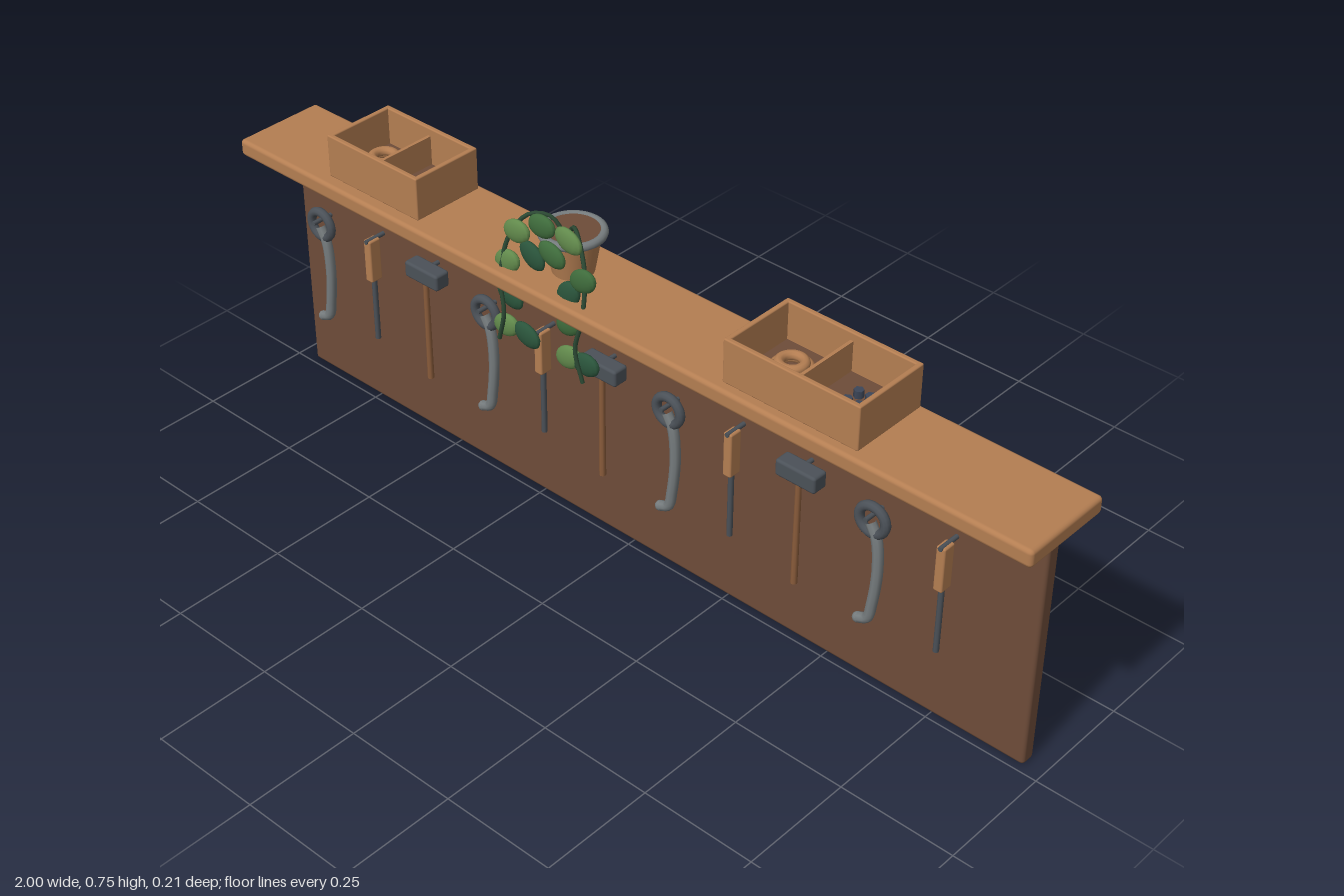
import * as THREE from 'three';
import { RoundedBoxGeometry } from 'three/addons/geometries/RoundedBoxGeometry.js';

const mat = (name, color) => {
  const m = new THREE.MeshStandardMaterial({ color });
  m.name = name;
  return m;
};

export function createModel() {
  const wood = mat('light wood', 0xb47e52);
  const darkWood = mat('dark wood', 0x6e4c39);
  const handleWood = mat('handle wood', 0x8a5c3b);
  const metal = mat('grey metal', 0x767c7e);
  const steel = mat('dark steel', 0x4b5158);
  const bolt = mat('blue steel', 0x3c4658);
  const greens = [mat('leaf light', 0x628a4c), mat('leaf mid', 0x3f6c3c), mat('leaf dark', 0x2a543b)];
  const stem = mat('stem green', 0x2c4a34);

  const model = new THREE.Group();
  model.name = 'toolShelf';

  const add = (parent, name, geo, material, x = 0, y = 0, z = 0) => {
    const mesh = new THREE.Mesh(geo, material);
    mesh.name = name;
    mesh.position.set(x, y, z);
    parent.add(mesh);
    return mesh;
  };
  const group = (name, x = 0, y = 0, z = 0) => {
    const g = new THREE.Group();
    g.name = name;
    g.position.set(x, y, z);
    model.add(g);
    return g;
  };
  const rbox = (w, h, d, r) => new RoundedBoxGeometry(w, h, d, 2, r);
  const tube = (points, radius, sides = 8) => new THREE.TubeGeometry(
    new THREE.CatmullRomCurve3(points.map(p => new THREE.Vector3(...p))), 28, radius, sides);

  // Back board and shelf
  add(model, 'backBoard', rbox(1.92, 0.544, 0.034, 0.008), darkWood, 0, 0.273, -0.032);
  add(model, 'shelf', rbox(2, 0.038, 0.21, 0.009), wood, 0, 0.577, 0);

  // Open trays with a divider, a coil of twine and small bolts
  const tray = (name, x, w, d) => {
    const g = group(name, x, 0.602, 0);
    const t = 0.011, h = 0.095;
    add(g, 'trayFloor', new THREE.BoxGeometry(w - t, 0.012, d - t), darkWood, 0, 0.007, 0);
    for (const s of [-1, 1]) {
      add(g, 'trayLongWall', rbox(w, h, t, 0.003), wood, 0, h / 2, s * (d - t) / 2);
      add(g, 'traySideWall', rbox(t, h, d, 0.003), wood, s * (w - t) / 2, h / 2, 0);
    }
    add(g, 'trayDivider', new THREE.BoxGeometry(0.007, 0.066, d - 2 * t), wood, 0.003, 0.045, 0);
    for (const [r, y] of [[0.033, 0.023], [0.024, 0.034]]) {
      add(g, 'twineCoil', new THREE.TorusGeometry(r, 0.01, 10, 28), wood, -w * 0.23, y, -0.004)
        .rotation.x = Math.PI / 2;
    }
    for (let i = 0; i < 6; i++) {
      add(g, 'bolt', new THREE.CylinderGeometry(0.01, 0.01, 0.016, 6), bolt,
        w * 0.25 + (i % 2 ? 0.013 : -0.013), 0.021, -0.026 + 0.033 * Math.floor(i / 2));
    }
  };
  tray('leftTray', -0.615, 0.258, 0.168);
  tray('rightTray', 0.466, 0.31, 0.18);

  // Tools hanging on pegs
  const peg = (g, y) => {
    add(g, 'peg', new THREE.CylinderGeometry(0.005, 0.005, 0.05, 8), steel, 0, y, 0.018)
      .rotation.x = Math.PI / 2;
  };
  const wrench = g => {
    add(g, 'wrenchRing', new THREE.TorusGeometry(0.03, 0.01, 10, 24), steel, 0, 0.408, 0.021);
    add(g, 'wrenchHandle', tube([[-0.004, 0.402, 0.021], [0.012, 0.37, 0.021], [0.019, 0.3, 0.021],
      [0.012, 0.22, 0.021], [0.003, 0.18, 0.021], [-0.018, 0.169, 0.021]], 0.011), metal);
    add(g, 'wrenchTip', new THREE.SphereGeometry(0.011, 10, 8), metal, -0.018, 0.169, 0.021);
    peg(g, 0.42);
  };
  const screwdriver = g => {
    add(g, 'screwdriverHandle', rbox(0.02, 0.1, 0.03, 0.004), wood, 0, 0.395, 0.026);
    add(g, 'screwdriverBlade', new THREE.CylinderGeometry(0.006, 0.006, 0.15, 8), steel, 0, 0.272, 0.026);
    peg(g, 0.443);
  };
  const hammer = g => {
    add(g, 'hammerHead', rbox(0.094, 0.037, 0.037, 0.006), steel, 0, 0.432, 0.026);
    add(g, 'hammerHandle', new THREE.CylinderGeometry(0.006, 0.007, 0.245, 8), handleWood, 0, 0.297, 0.03);
    peg(g, 0.443);
  };
  const tools = [['wrench', wrench], ['screwdriver', screwdriver], ['hammer', hammer]];
  for (let i = 0; i < 11; i++) {
    const [name, build] = tools[i % 3];
    build(group(name, -0.86 + i * 0.1637));
  }

  // Flower pot with a metal rim and soil
  const plant = group('pottedPlant', -0.148, 0, -0.005);
  add(plant, 'pot', new THREE.CylinderGeometry(0.058, 0.042, 0.09, 28), wood, 0, 0.64, 0);
  add(plant, 'potRim', new THREE.TorusGeometry(0.06, 0.009, 10, 32), metal, 0, 0.682, 0)
    .rotation.x = Math.PI / 2;
  add(plant, 'soil', new THREE.CylinderGeometry(0.054, 0.054, 0.008, 28), darkWood, 0, 0.684, 0);

  // Trailing stems, mirrored to both sides
  const vines = group('trailingVines', -0.15);
  for (const s of [-1, 1]) {
    add(vines, 'vine', tube([[0, 0.67, 0.008], [s * 0.03, 0.715, 0.022], [s * 0.065, 0.715, 0.045],
      [s * 0.1, 0.66, 0.066], [s * 0.108, 0.57, 0.084], [s * 0.095, 0.5, 0.09],
      [s * 0.112, 0.43, 0.088]], 0.0045, 6), stem);
  }

  // Leaves: x, y, tilt, shade
  const leaves = [
    [-0.155, 0.725, 0.2, 1], [-0.086, 0.722, -0.3, 0], [-0.222, 0.686, 0.3, 0], [-0.13, 0.672, -0.3, 1],
    [-0.182, 0.648, -0.6, 2], [-0.05, 0.648, 0.5, 1], [-0.25, 0.607, 0.5, 0], [-0.088, 0.602, 0.9, 2],
    [-0.245, 0.53, -0.4, 2], [-0.088, 0.535, 0.6, 1], [-0.258, 0.455, 0.4, 0], [-0.202, 0.456, -0.3, 2],
    [-0.09, 0.457, 0.5, 0], [-0.045, 0.46, 0.2, 2],
  ];
  const leafGeo = new THREE.SphereGeometry(1, 14, 10);
  const foliage = group('foliage');
  for (const [x, y, tilt, shade] of leaves) {
    const leaf = add(foliage, 'leaf', leafGeo, greens[shade], x, y, 0.071);
    leaf.scale.set(0.035, 0.025, 0.011);
    leaf.rotation.z = tilt;
  }
  return model;
}
